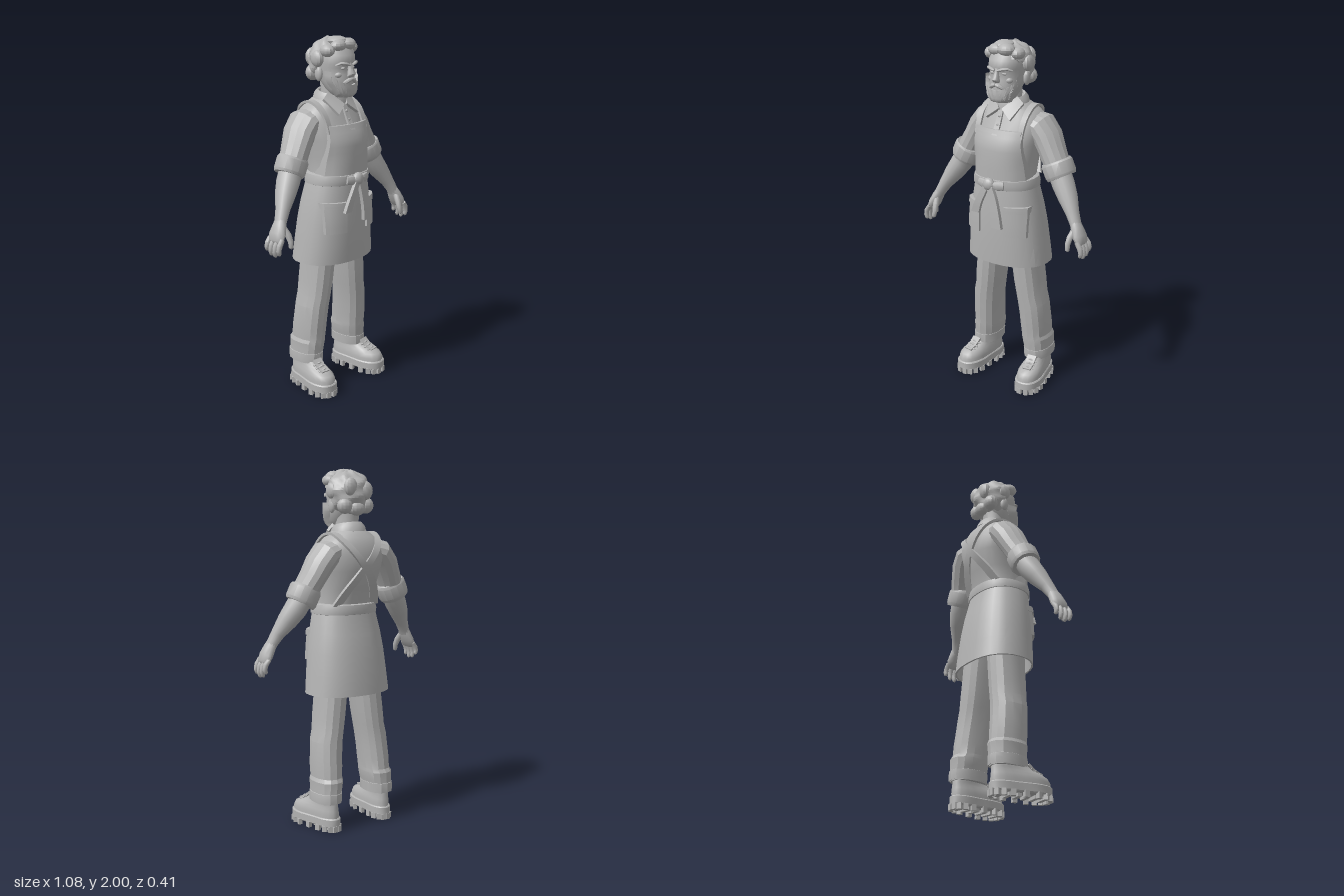
import * as THREE from 'three';
import { toCreasedNormals } from 'three/addons/utils/BufferGeometryUtils.js';

const V = (x, y, z) => new THREE.Vector3(x, y, z);
const lerp = THREE.MathUtils.lerp;
const sup = (c, n) => Math.sign(c) * Math.pow(Math.abs(c), 2 / n);

// Skin a list of equal-length rings and cap both ends
function skin(rings) {
  const n = rings[0].length, pos = [], idx = [];
  const mid = r => r.reduce((s, p) => s.add(p), V(0, 0, 0)).divideScalar(n);
  rings.forEach(r => r.forEach(p => pos.push(p.x, p.y, p.z)));
  const last = (rings.length - 1) * n, c0 = rings.length * n;
  for (const p of [mid(rings[0]), mid(rings[rings.length - 1])]) pos.push(p.x, p.y, p.z);
  for (let j = 0; j < n; j++) {
    const k = (j + 1) % n;
    for (let i = 0; i < last; i += n) idx.push(i + j, i + k, i + n + k, i + j, i + n + k, i + n + j);
    idx.push(c0, k, j, c0 + 1, last + j, last + k);
  }
  const g = new THREE.BufferGeometry();
  g.setAttribute('position', new THREE.Float32BufferAttribute(pos, 3));
  g.setIndex(idx);
  return g;
}

// Upright body from rows [y, centreX, halfWidth, zFront, zBack]
function body(rows, n = 2.3, seg = 20, warp = p => p) {
  return skin(rows.map(([y, cx, hw, zf, zb]) => Array.from({ length: seg }, (_, j) => {
    const a = j / seg * Math.PI * 2;
    return warp(V(cx + hw * sup(Math.sin(a), n), y, (zf + zb) / 2 + (zf - zb) / 2 * sup(Math.cos(a), n)));
  })));
}

// Limb along points [x, y, z, radiusInPlane, radiusZ]
function limb(pts, seg = 14) {
  const c = pts.map(p => V(p[0], p[1], p[2]));
  return skin(pts.map((p, i) => {
    const t = c[Math.min(i + 1, c.length - 1)].clone().sub(c[Math.max(i - 1, 0)]).normalize();
    const a = V(0, 0, 1).cross(t).normalize(), b = t.clone().cross(a);
    return Array.from({ length: seg }, (_, j) => {
      const q = j / seg * Math.PI * 2;
      return c[i].clone().addScaledVector(a, p[3] * Math.cos(q)).addScaledVector(b, p[4] * Math.sin(q));
    });
  }));
}

// Bent slab: fn(u, v, w) places every vertex; u across, v up, w through the thickness (0..1)
function slab(nu, nv, fn) {
  const g = new THREE.BoxGeometry(1, 1, 1, nu, nv, 1), p = g.attributes.position;
  for (let i = 0; i < p.count; i++) {
    const q = fn(p.getX(i) + 0.5, p.getY(i) + 0.5, p.getZ(i) + 0.5);
    p.setXYZ(i, q.x, q.y, q.z);
  }
  return g;
}

// Cloth strip along a path, wide in x
function ribbon(pts, w0, w1, thick, n = 20) {
  const curve = new THREE.CatmullRomCurve3(pts.map(p => V(...p)));
  return slab(2, n, (u, v, w) => {
    const c = curve.getPoint(v), out = V(1, 0, 0).cross(curve.getTangent(v)).normalize();
    return c.addScaledVector(out, (w - 0.5) * thick).add(V((u - 0.5) * lerp(w0, w1, v), 0, 0));
  });
}

const quad = (a, b, c, d, t) => slab(3, 3, (u, v, w) => {
  const n = V(...b).sub(V(...a)).cross(V(...d).sub(V(...a))).normalize();
  return V(...a).lerp(V(...b), u).lerp(V(...d).lerp(V(...c), u), v).addScaledVector(n, (w - 0.5) * t);
});

// Depth of a body table at (x, y); side is 1 for front, -1 for back
function zAt(tab, y, x, side = 1, off = 0, n = 2.3) {
  let i = 0;
  while (i < tab.length - 2 && tab[i + 1][0] < y) i++;
  const t = THREE.MathUtils.clamp((y - tab[i][0]) / (tab[i + 1][0] - tab[i][0]), 0, 1);
  const [, , hw, zf, zb] = tab[i].map((v, k) => lerp(v, tab[i + 1][k], t));
  const r = Math.min(1, Math.abs(x) / (hw + off));
  return (zf + zb) / 2 + side * ((zf - zb) / 2 + off) * Math.pow(1 - Math.pow(r, n), 1 / n);
}

const ball = (x, y, z, rx, ry, rz) => new THREE.SphereGeometry(1, 12, 8).scale(rx, ry, rz).translate(x, y, z);

const TORSO = [[1.2, 0, .165, .14, -.125], [1.27, 0, .162, .14, -.132], [1.35, 0, .165, .14, -.158],
  [1.45, 0, .185, .135, -.188], [1.53, 0, .2, .1, -.195], [1.59, 0, .19, .075, -.18],
  [1.63, 0, .15, .06, -.162], [1.665, 0, .09, .05, -.13], [1.69, 0, .06, .03, -.1]];
const SKIRT = [[.765, 0, .25, .155, -.205], [.88, 0, .238, .16, -.195], [1, 0, .225, .162, -.18],
  [1.1, 0, .209, .16, -.163], [1.2, 0, .188, .155, -.14], [1.24, 0, .178, .152, -.134]];
const HEAD = [[1.675, 0, .035, .095, .02], [1.69, 0, .058, .108, -.02], [1.72, 0, .075, .112, -.05],
  [1.76, 0, .087, .11, -.08], [1.8, 0, .093, .107, -.1], [1.835, 0, .095, .1, -.11],
  [1.855, 0, .097, .113, -.115], [1.9, 0, .097, .107, -.12], [1.95, 0, .08, .07, -.1]];

export function createModel() {
  const model = new THREE.Group();
  const grey = new THREE.MeshStandardMaterial({ color: 0xb4b4b4 });
  grey.name = 'clay grey';

  const add = (name, geo, crease = 0.6) => {
    const m = new THREE.Mesh(toCreasedNormals(geo, crease), grey);
    m.name = name;
    model.add(m);
  };
  // Add a left part and its mirrored right twin
  const pair = (name, geo, crease) => {
    add('left ' + name, geo, crease);
    const g = geo.index ? geo.toNonIndexed() : geo.clone(), p = g.attributes.position, s = p.clone();
    for (let i = 0; i < p.count; i++) {
      const k = i - i % 3 + 2 - i % 3;
      p.setXYZ(i, -s.getX(k), s.getY(k), s.getZ(k));
    }
    add('right ' + name, g, crease);
  };

  // Shirt, collar and buttons
  add('shirt torso', body(TORSO, 2.3, 24));
  add('neck', body([[1.6, 0, .07, .05, -.1], [1.68, 0, .064, .045, -.085], [1.78, 0, .066, .05, -.095]], 2, 16));
  add('collar band', body([[1.64, 0, .1, .065, -.135], [1.672, 0, .094, .062, -.125], [1.695, 0, .078, .055, -.108],
    [1.69, 0, .068, .045, -.098], [1.64, 0, .066, .04, -.09]], 2, 20, p => p.setY(p.y - p.z * .18)));
  pair('collar lapel', quad([.008, 1.635, .072], [.075, 1.585, .094], [.108, 1.665, .01], [.07, 1.7, .01], .016));
  add('shirt placket', ribbon([[0, 1.5, .128], [0, 1.56, .095], [0, 1.63, .066]], .035, .03, .012, 6));
  for (const y of [1.555, 1.6]) add('shirt button', ball(0, y, zAt(TORSO, y, 0) + .012, .009, .009, .006));

  // Sleeves, rolled cuffs and forearms
  pair('sleeve', limb([[.1, 1.565, -.06, .06, .09], [.175, 1.54, -.066, .077, .105], [.215, 1.49, -.064, .075, .1],
    [.25, 1.425, -.055, .07, .09], [.28, 1.37, -.045, .07, .082], [.31, 1.31, -.04, .07, .076]], 14), .3);
  pair('rolled cuff', limb([[.283, 1.37, -.042, .07, .07], [.284, 1.367, -.042, .083, .08], [.29, 1.355, -.042, .09, .086],
    [.318, 1.298, -.04, .089, .086], [.326, 1.283, -.039, .082, .08], [.325, 1.285, -.039, .066, .066]], 14), .5);
  pair('forearm', limb([[.31, 1.31, -.035, .063, .066], [.345, 1.25, -.024, .062, .066], [.385, 1.19, -.005, .054, .058],
    [.43, 1.12, .02, .037, .041], [.458, 1.07, .033, .03, .036], [.47, 1.045, .036, .028, .038]]), .9);

  // Hands with four curled fingers and a thumb
  pair('palm', limb([[.455, 1.08, .032, .026, .032], [.472, 1.045, .038, .03, .044], [.492, 1.005, .042, .03, .054],
    [.508, .97, .043, .022, .052], [.513, .96, .043, .012, .045]], 12), .9);
  for (let i = 0; i < 4; i++) {
    const z = -.001 + i * .03, l = [.06, .078, .082, .07][i];
    pair('finger', limb([[.502, .985, z, .013, .014], [.522, .985 - l * .45, z, .0155, .0145],
      [.528, .985 - l * .85, z - .002, .014, .013], [.522, .985 - l * 1.1, z - .003, .012, .011],
      [.518, .985 - l * 1.2, z - .003, .005, .005]], 8), .9);
  }
  pair('thumb', limb([[.465, 1.035, .06, .018, .018], [.456, 1.0, .085, .018, .017], [.452, .965, .1, .015, .015],
    [.456, .935, .106, .012, .012], [.458, .928, .106, .005, .005]], 8), .9);

  // Apron skirt with an open hem, and the bib
  add('apron skirt', body([[.95, 0, .2, .13, -.155], [.765, 0, .24, .145, -.195], ...SKIRT], 2.3, 28), .3);
  add('apron bib', slab(14, 8, (u, v, w) => {
    const y = lerp(1.24, 1.53, v), x = (u - .5) * 2 * lerp(.17, .146, v);
    return V(x, y, zAt(TORSO, y, x, 1, .004 + w * .016));
  }), .5);
  add('bib hem', slab(14, 1, (u, v, w) => {
    const y = lerp(1.512, 1.533, v), x = (u - .5) * .294;
    return V(x, y, zAt(TORSO, y, x, 1, .01 + w * .015));
  }));

  // Straps run over the shoulders and cross on the back
  const back = (x, y) => [x, y, zAt(TORSO, y, x, -1, .006)];
  pair('apron strap', ribbon([[.14, 1.49, zAt(TORSO, 1.49, .14, 1, .01)], [.14, 1.54, zAt(TORSO, 1.54, .14, 1, .012)],
    [.142, 1.6, .045], [.138, 1.645, -.02], [.13, 1.65, -.08], [.115, 1.615, -.145], back(.08, 1.565), back(.025, 1.5),
    back(-.04, 1.42), back(-.09, 1.34), back(-.125, 1.26)], .028, .06, .014, 36));

  // Waist tie with knot and tails
  add('waist belt', body([[1.205, 0, .178, .15, -.13], [1.21, 0, .19, .163, -.143], [1.235, 0, .19, .168, -.146],
    [1.262, 0, .182, .166, -.142], [1.268, 0, .165, .15, -.13]], 2.3, 28), .5);
  add('belt knot', ball(-.008, 1.238, .175, .036, .037, .027));
  pair('belt bow fold', limb([[.015, 1.235, .172, .016, .014], [.045, 1.235, .17, .027, .016], [.08, 1.238, .16, .022, .012]], 10));
  add('left tie tail', ribbon([[.055, 1, .19], [.045, 1.08, .188], [.025, 1.17, .183], [.005, 1.23, .18]], .066, .036, .022, 10));
  add('right tie tail', ribbon([[-.095, 1.065, .178], [-.075, 1.12, .182], [-.045, 1.18, .182], [-.018, 1.23, .18]], .05, .034, .02, 10));

  // Patch pockets with top bands
  const patch = (y0, y1, x0, x1, off) => slab(6, 5, (u, v, w) => {
    const y = lerp(y0, y1, v), x = lerp(x0, x1, u);
    return V(x, y, zAt(SKIRT, y, x, 1, -.003 + w * off));
  });
  pair('apron pocket', patch(.945, 1.112, .082, .195, .015), .5);
  pair('pocket band', patch(1.085, 1.118, .08, .197, .021), .5);

  // Trousers
  pair('trouser leg', body([[.16, .18, .06, .02, -.15], [.158, .18, .071, .038, -.168], [.2, .18, .072, .042, -.172],
    [.235, .175, .076, .044, -.17], [.28, .172, .08, .05, -.172], [.3, .168, .075, .05, -.16], [.36, .166, .078, .056, -.155],
    [.42, .162, .078, .06, -.148], [.5, .155, .08, .066, -.14], [.56, .143, .077, .07, -.138], [.64, .133, .08, .076, -.137],
    [.75, .12, .08, .08, -.135], [.96, .1, .09, .09, -.13]], 2.3, 14), .35);
  pair('trouser turn-up', body([[.165, .18, .068, .035, -.165], [.162, .18, .076, .044, -.174], [.19, .18, .077, .046, -.176],
    [.215, .178, .076, .045, -.174], [.22, .178, .068, .035, -.165]], 2.3, 14), .5);

  // Boots: wider at the toe, turned slightly outward
  const place = g => g.rotateY(.13).translate(.194, 0, 0);
  const foot = p => p.setX(p.x * (1 + p.z * .9 - .12 * Math.exp(-Math.pow((p.z + .03) / .06, 2))));
  pair('boot upper', place(body([[.06, 0, .068, .172, -.166], [.095, 0, .07, .172, -.167], [.118, 0, .066, .158, -.165],
    [.135, 0, .06, .125, -.163], [.15, 0, .056, .075, -.162], [.175, 0, .055, .038, -.158], [.23, 0, .05, .01, -.15]], 2.3, 20, foot)), .8);
  pair('boot sole', place(body([[.026, 0, .07, .172, -.168], [.032, 0, .075, .18, -.175], [.07, 0, .076, .18, -.175],
    [.076, 0, .071, .175, -.17]], 2.5, 28, foot)), .5);
  for (let i = 0; i < 18; i++) {
    const a = (i + .5) / 18 * Math.PI * 2;
    const p = foot(V(.067 * sup(Math.sin(a), 2.5), .017, .002 + .168 * sup(Math.cos(a), 2.5)));
    pair('sole lug', place(new THREE.BoxGeometry(.026, .034, .022).rotateY(a).translate(p.x, p.y, p.z)));
  }
  for (let i = 0; i < 6; i++)
    pair('sole bar', place(new THREE.BoxGeometry(.07, .026, .022).translate(0, .021, -.12 + i * .05)));
  pair('boot tongue', place(ribbon([[0, .136, .122], [0, .155, .075], [0, .185, .04]], .05, .055, .014, 5).rotateY(0)));
  for (let i = 0; i < 3; i++)
    pair('boot lace', place(limb([[-.036, .136 + i * .012, .1 - i * .022, .005, .006], [0, .149 + i * .012, .108 - i * .022, .006, .007],
      [.036, .136 + i * .012, .1 - i * .022, .005, .006]], 6)));

  // Head and face
  add('head', body(HEAD, 2.2, 24), .9);
  add('nose', body([[1.783, 0, .012, .112, .09], [1.79, 0, .022, .126, .09], [1.803, 0, .02, .137, .09],
    [1.825, 0, .013, .127, .09], [1.85, 0, .011, .117, .09], [1.862, 0, .014, .113, .09]], 2, 10), .9);
  pair('eyebrow', limb([[.01, 1.849, .114, .006, .008], [.035, 1.857, .111, .009, .01], [.06, 1.86, .096, .008, .01],
    [.078, 1.85, .074, .004, .006]], 8), .9);
  pair('eye', ball(.036, 1.833, .088, .016, .009, .012), 2);
  pair('cheek', ball(.05, 1.797, .07, .028, .02, .024), 2);
  pair('ear', ball(.104, 1.8, -.025, .016, .04, .026).rotateZ(0), 2);
  pair('moustache', limb([[0, 1.775, .119, .008, .01], [.018, 1.771, .118, .012, .013], [.04, 1.757, .104, .01, .011],
    [.056, 1.738, .088, .004, .005]], 8), .9);
  add('beard', slab(24, 6, (u, v, w) => {
    const s = (u - .5) * 2, y = lerp(1.678, 1.742 + .075 * Math.pow(Math.abs(s), 1.6), v);
    const x = Math.sin(s * 1.5) * (zAt(HEAD, y, 0) > 0 ? lerp(.058, .098, Math.min(1, (y - 1.678) / .09)) : 0);
    const bump = .003 * Math.sin(s * 22 + v * 5);
    return V(x * (.94 + w * .1), y, zAt(HEAD, y, x * .95, 1, -.006 + w * .016 + bump));
  }), .9);

  // Wavy hair: a lumpy shell tucked inside the head below the hairline
  const hair = new THREE.SphereGeometry(1, 40, 28), hp = hair.attributes.position;
  for (let i = 0; i < hp.count; i++) {
    const d = V(hp.getX(i), hp.getY(i), hp.getZ(i)), a = Math.atan2(d.x, d.z);
    const wave = d.y > .99 || d.y < -.99 ? 0 : .035 * Math.sin(7 * a + 6 * d.y) + .03 * Math.sin(11 * d.y - 3 * a);
    const face = d.z > .12 && d.y < .3 - .1 * d.x;
    const r = face ? .6 : 1 + wave;
    hp.setXYZ(i, d.x * .125 * r, 1.868 + d.y * .122 * r, -.03 + d.z * (d.z > 0 ? .125 : .124) * r);
  }
  add('hair', hair, .45);
  // Swept locks: [x, y, z, rx, ry, rz]
  const locks = [[.03, 1.955, .06, .05, .034, .045], [-.035, 1.95, .055, .05, .032, .04], [-.01, 1.973, .02, .055, .026, .06],
    [.085, 1.935, .03, .035, .032, .045], [-.09, 1.925, .025, .036, .034, .045], [.108, 1.88, -.03, .027, .045, .04],
    [-.11, 1.88, -.03, .028, .045, .04], [.07, 1.8, -.1, .045, .045, .04], [-.07, 1.8, -.1, .045, .045, .04],
    [0, 1.785, -.115, .05, .04, .035], [.05, 1.9, -.125, .04, .05, .03], [-.05, 1.88, -.13, .04, .05, .028]];
  locks.forEach(l => add('hair lock', ball(...l), .5));
  return model;
}
